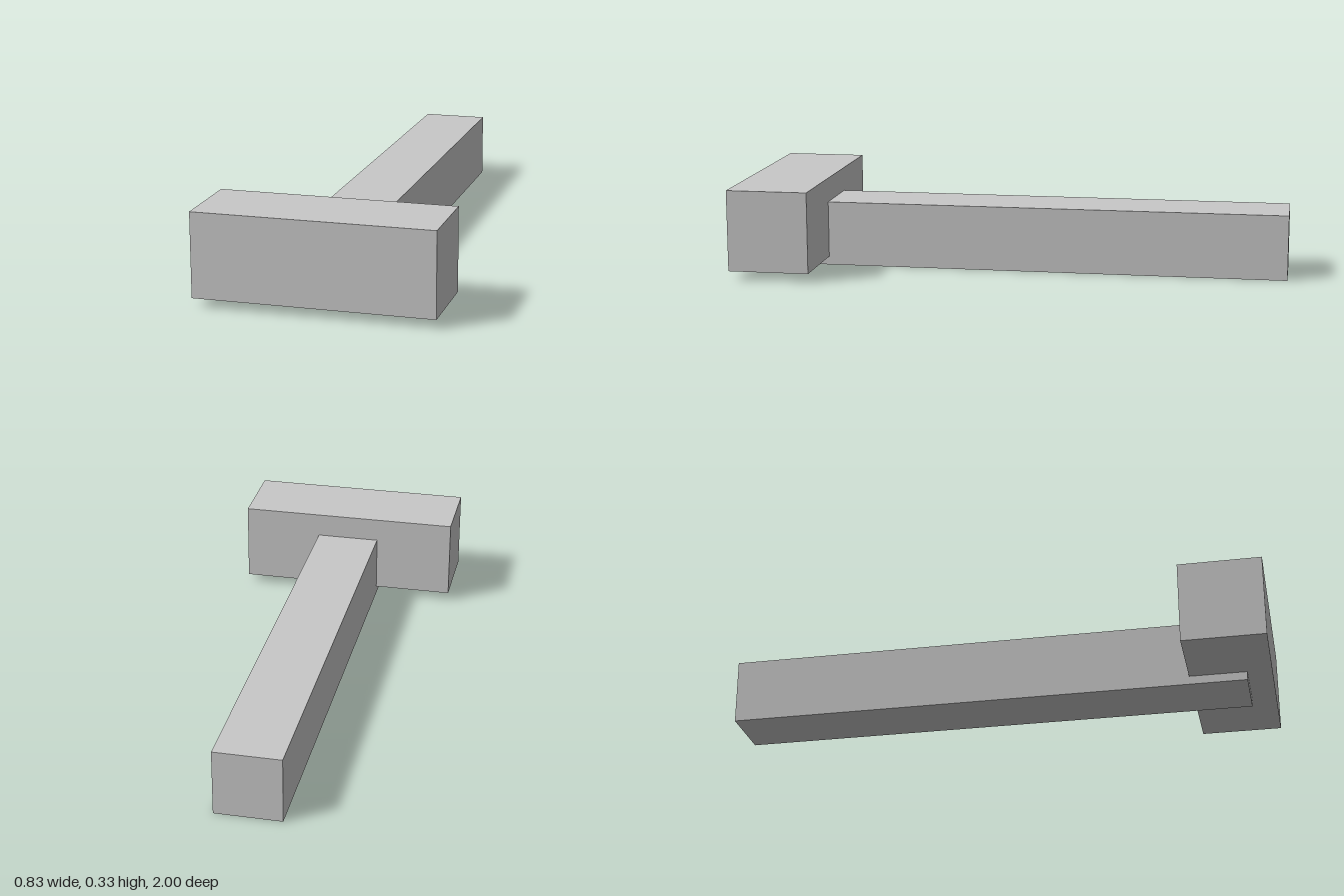
import * as THREE from 'three';

export function createModel() {
  const model = new THREE.Group();
  const lightGrey = new THREE.MeshStandardMaterial({ color: 0xc8c8c8 });
  lightGrey.name = 'light grey';

  // Box spanning two opposite corners
  const addBlock = (name, min, max) => {
    const [w, h, d] = max.map((v, i) => v - min[i]);
    const mesh = new THREE.Mesh(new THREE.BoxGeometry(w, h, d), lightGrey);
    mesh.position.set(...max.map((v, i) => (v + min[i]) / 2));
    mesh.name = name;
    model.add(mesh);
  };

  // Crosswise head, and the handle that runs into its underside
  addBlock('head', [-0.417, 0.031, 0.703], [0.417, 0.328, 1]);
  addBlock('handle', [-0.12, 0, -1], [0.12, 0.239, 0.911]);

  return model;
}
